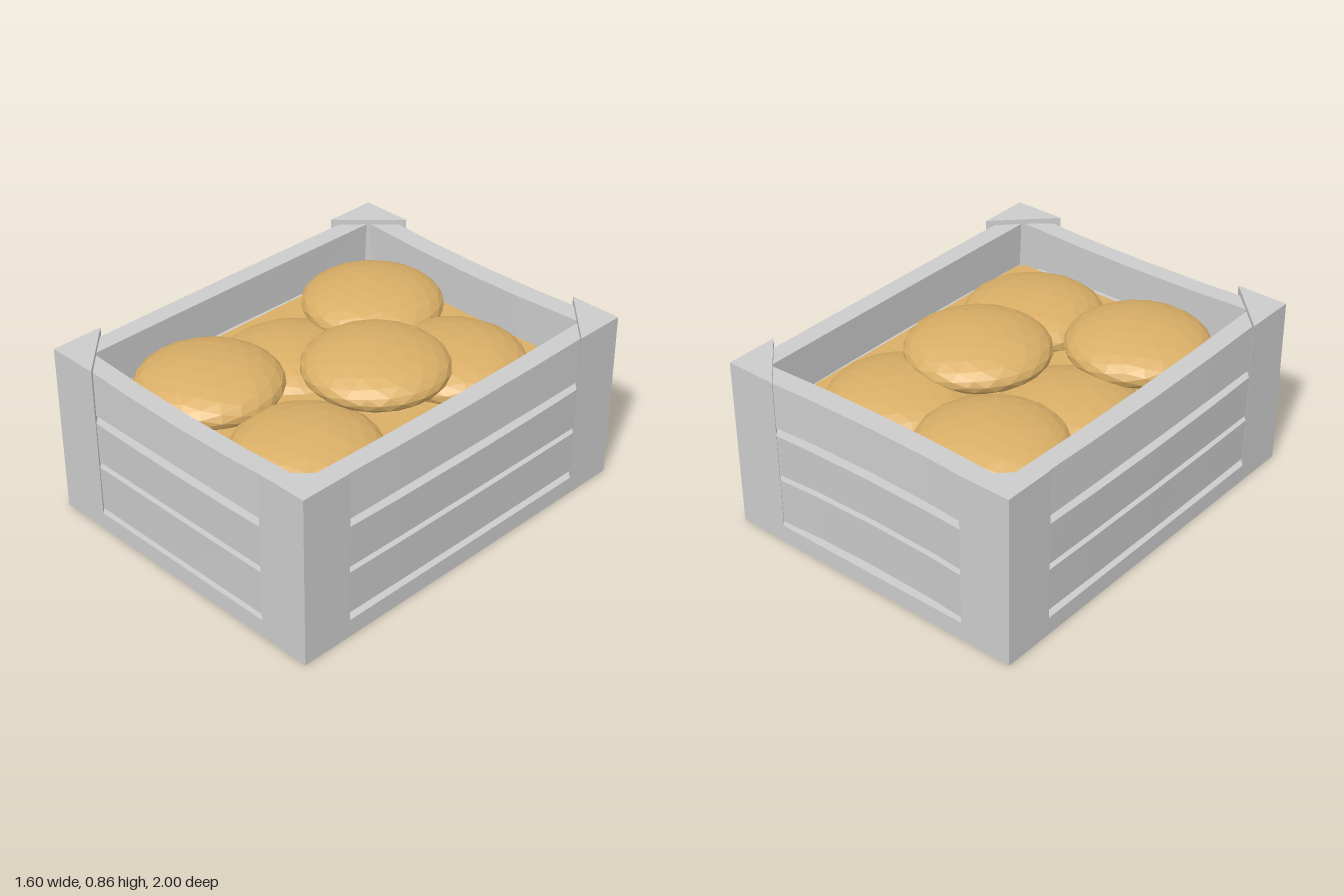
import * as THREE from 'three';

const wood = new THREE.MeshStandardMaterial({ color: 0xcccccc, flatShading: true });
const crust = new THREE.MeshStandardMaterial({ color: 0xd9ae66, flatShading: true });

function add(parent, name, geometry, material) {
  const mesh = new THREE.Mesh(geometry, material);
  mesh.name = name;
  parent.add(mesh);
  return mesh;
}

// Triangular corner post filling the corner at (sx, sz)
function postGeometry(sx, sz) {
  const leg = 0.265;
  const shape = new THREE.Shape([
    new THREE.Vector2(sx * 0.8, -sz),
    new THREE.Vector2(sx * (0.8 - leg), -sz),
    new THREE.Vector2(sx * 0.8, -sz * (1 - leg)),
  ]);
  const g = new THREE.ExtrudeGeometry(shape, { depth: 0.77, bevelEnabled: false });
  return g.rotateX(-Math.PI / 2).translate(0, 0.09, 0);
}

// Slightly warped board along x, outside facing +z:
// topSag / bottomSag lower the middle, bow pushes the middle outwards, lean moves the top edge out
function plankGeometry(length, inner, outer, y0, y1, { topSag = 0, bottomSag = 0, bow = 0, lean = 0 }) {
  const g = new THREE.BoxGeometry(length, y1 - y0, outer - inner, 4, 1, 1);
  g.translate(0, (y0 + y1) / 2, (inner + outer) / 2);
  const p = g.attributes.position;
  const middle = (y0 + y1) / 2;
  for (let i = 0; i < p.count; i++) {
    const t = 2 * p.getX(i) / length;
    const bend = 1 - t * t;
    const top = p.getY(i) > middle;
    p.setY(i, p.getY(i) - bend * (top ? topSag : bottomSag));
    p.setZ(i, p.getZ(i) + bend * bow + (top ? lean : 0));
  }
  g.computeVertexNormals();
  return g;
}

export function createModel() {
  const model = new THREE.Group();
  model.name = 'breadCrate';

  add(model, 'base', new THREE.BoxGeometry(1.6, 0.09, 2).translate(0, 0.045, 0), wood);

  for (const sx of [-1, 1]) for (const sz of [-1, 1])
    add(model, 'cornerPost', postGeometry(sx, sz), wood);

  // Three boards on each wall
  const walls = [
    { name: 'front', turn: 0, length: 1.33, inner: 0.88, outer: 0.975, topSag: 0.02, bow: 0.005 },
    { name: 'back', turn: Math.PI, length: 1.33, inner: 0.88, outer: 0.985, topSag: 0.003, bow: -0.025 },
    { name: 'left', turn: Math.PI / 2, length: 1.72, inner: 0.68, outer: 0.775, topSag: 0.005, bow: 0.008 },
    { name: 'right', turn: -Math.PI / 2, length: 1.72, inner: 0.68, outer: 0.775, topSag: 0.005, bow: 0.01 },
  ];
  for (const w of walls) {
    const wall = new THREE.Group();
    wall.name = w.name + 'Wall';
    wall.rotation.y = w.turn;
    model.add(wall);
    const side = w.length > 1.5;
    const boards = [
      [side ? 0.105 : 0.093, 0.333, { bottomSag: -0.005, topSag: -0.003, bow: w.bow, lean: 0.01 }],
      [0.352, 0.575, { topSag: 0.006, bottomSag: -0.005, bow: w.bow, lean: 0.01 }],
      [0.605, 0.835, { topSag: w.topSag, bottomSag: -0.004, bow: w.bow, lean: -0.005 }],
    ];
    for (const [y0, y1, warp] of boards)
      add(wall, w.name + 'Plank', plankGeometry(w.length, w.inner, w.outer, y0, y1, warp), wood);
  }

  // Raised tray under the bread
  add(model, 'tray', new THREE.BoxGeometry(1.38, 0.02, 1.76).translate(0, 0.587, 0), crust);

  // Flattened round buns: x, y, z of the centre
  const buns = [
    [-0.315, 0.675, -0.535], [0.275, 0.63, -0.47], [-0.315, 0.567, 0],
    [0.17, 0.74, -0.06], [-0.315, 0.685, 0.515], [0.305, 0.62, 0.505],
  ];
  const bunGeometry = new THREE.IcosahedronGeometry(1, 3).scale(0.347, 0.12, 0.347);
  buns.forEach(([x, y, z], i) => {
    const bun = add(model, 'bun', bunGeometry, crust);
    bun.position.set(x, y, z);
    bun.rotation.y = i * 0.9;
  });

  return model;
}
